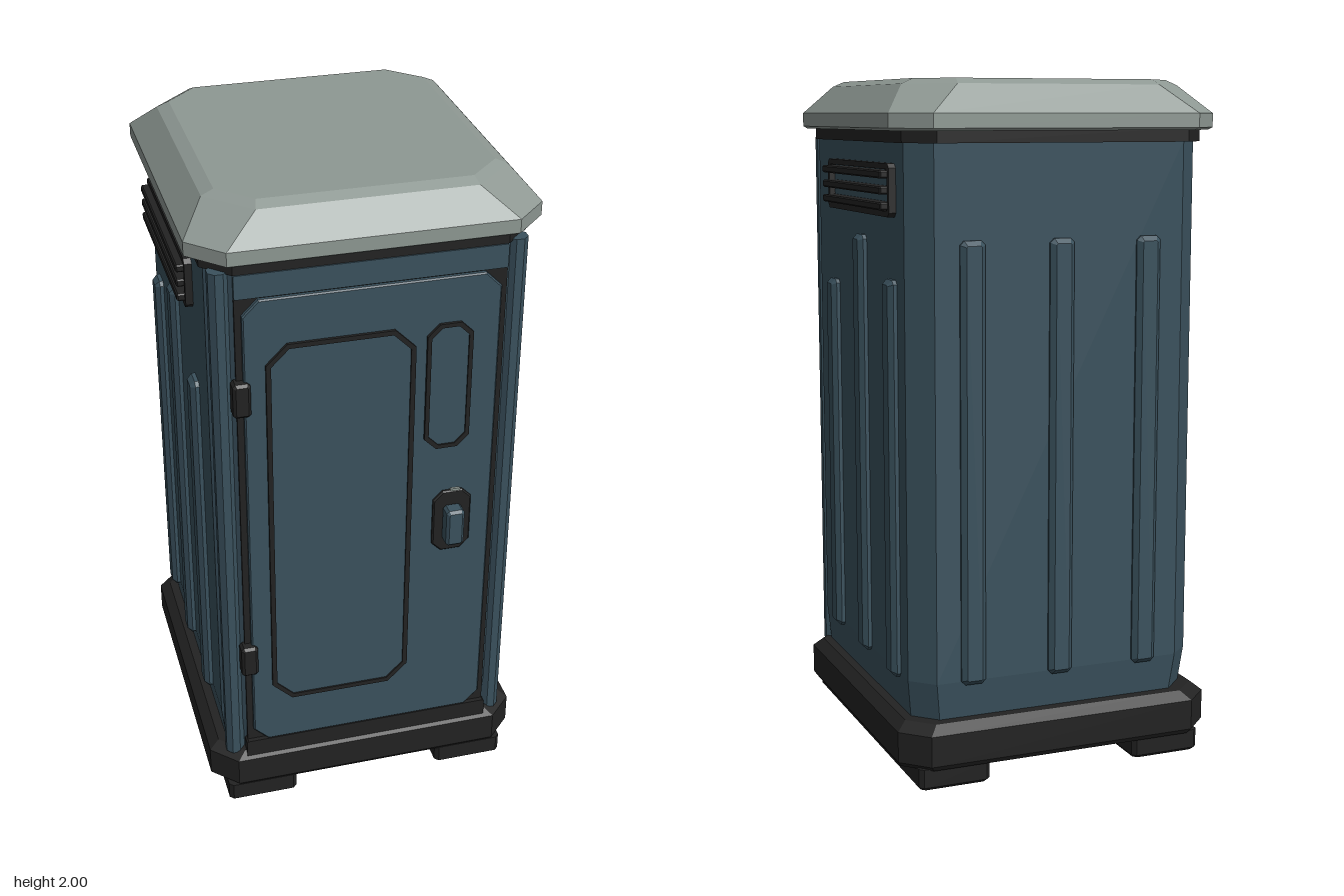
import * as THREE from 'three';

const mat = (name, color) => {
  const m = new THREE.MeshStandardMaterial({ color, flatShading: true });
  m.name = name;
  return m;
};

// Stack of chamfered rectangles; each ring is [y, halfWidth, zFront, zBack, cornerCut]
function octagonLoft(rings) {
  const pts = rings.map(([y, h, f, b, c]) => [
    [h, f - c], [h, b + c], [h - c, b], [c - h, b],
    [-h, b + c], [-h, f - c], [c - h, f], [h - c, f],
  ].map(([x, z]) => [x, y, z]));
  const pos = [];
  const tri = (...t) => t.forEach((p) => pos.push(...p));
  for (let r = 0; r < pts.length - 1; r++) {
    const lo = pts[r], up = pts[r + 1];
    for (let i = 0; i < 8; i++) {
      const j = (i + 1) % 8;
      tri(lo[i], lo[j], up[j]);
      tri(lo[i], up[j], up[i]);
    }
  }
  const bottom = pts[0], top = pts[pts.length - 1];
  for (let i = 1; i < 7; i++) {
    tri(top[0], top[i], top[i + 1]);
    tri(bottom[0], bottom[i + 1], bottom[i]);
  }
  const g = new THREE.BufferGeometry();
  g.setAttribute('position', new THREE.Float32BufferAttribute(pos, 3));
  g.computeVertexNormals();
  return g;
}

// Points of a rectangle with cut corners
const cutRect = (x0, x1, y0, y1, c) => [
  [x0 + c, y0], [x1 - c, y0], [x1, y0 + c], [x1, y1 - c],
  [x1 - c, y1], [x0 + c, y1], [x0, y1 - c], [x0, y0 + c],
].map(([x, y]) => new THREE.Vector2(x, y));

// Cut-corner plate facing +z between z0 and z1, with optional bevel or open middle
function plate([x0, x1, y0, y1], c, z0, z1, { bevel = 0, border = 0 } = {}) {
  const shape = new THREE.Shape(cutRect(x0, x1, y0, y1, c));
  if (border) {
    shape.holes.push(new THREE.Path(
      cutRect(x0 + border, x1 - border, y0 + border, y1 - border, c * 0.85)));
  }
  const g = new THREE.ExtrudeGeometry(shape, {
    depth: z1 - z0 - 2 * bevel, bevelEnabled: bevel > 0, bevelSegments: 1,
    bevelThickness: bevel, bevelSize: bevel, bevelOffset: -bevel,
  });
  return g.translate(0, 0, z0 + bevel);
}

export function createModel() {
  const blue = mat('blue plastic', 0x3a515d);
  const dark = mat('black plastic', 0x222222);
  const grey = mat('grey roof plastic', 0x8e9893);
  const model = new THREE.Group();
  model.name = 'portableCabin';

  const add = (name, geometry, material, parent = model) => {
    const m = new THREE.Mesh(geometry, material);
    m.name = name;
    parent.add(m);
    return m;
  };

  // Base, walls, lip and roof
  add('base', octagonLoft([
    [0.06, 0.48, 0.48, -0.525, 0.075], [0.075, 0.49, 0.49, -0.535, 0.075],
    [0.165, 0.49, 0.49, -0.535, 0.075], [0.19, 0.46, 0.47, -0.505, 0.07],
  ]), dark);
  add('walls', octagonLoft([
    [0.18, 0.432, 0.46, -0.472, 0.065], [0.3, 0.445, 0.46, -0.485, 0.065],
    [1.83, 0.445, 0.46, -0.485, 0.065],
  ]), blue);
  add('roofLip', octagonLoft([
    [1.825, 0.456, 0.468, -0.513, 0.075], [1.865, 0.456, 0.468, -0.513, 0.075],
  ]), dark);
  add('roof', octagonLoft([
    [1.858, 0.485, 0.485, -0.53, 0.095], [1.865, 0.495, 0.495, -0.54, 0.095],
    [1.905, 0.495, 0.495, -0.54, 0.095], [1.985, 0.425, 0.425, -0.472, 0.12],
    [2.0, 0.39, 0.393, -0.44, 0.092],
  ]), grey);

  // Skids and front corner posts
  for (const s of [-1, 1]) {
    const skid = octagonLoft([
      [0, 0.1, 0.475, -0.51, 0.012], [0.01, 0.108, 0.485, -0.52, 0.012],
      [0.065, 0.108, 0.485, -0.52, 0.012],
    ]).translate(s * 0.337, 0, 0);
    add('skid', skid, dark);
    const post = new THREE.CylinderGeometry(0.03, 0.03, 1.65, 8);
    post.rotateY(Math.PI / 8);
    add('cornerPost', post, blue).position.set(s * 0.415, 1.005, 0.435);
  }

  // Ribs and vents; the local x of a side wall runs towards the back
  const rib = (x, top, z, parent) => add('rib',
    plate([x - 0.037, x + 0.037, 0.29, top], 0.012, z - 0.03, z + 0.025, { bevel: 0.014 }),
    blue, parent);
  for (const s of [-1, 1]) {
    const side = new THREE.Group();
    side.name = s > 0 ? 'leftWallDetails' : 'rightWallDetails';
    side.rotation.y = s * Math.PI / 2;
    model.add(side);
    for (const [z, top] of [[0.23, 1.4], [-0.047, 1.555], [-0.32, 1.445]]) {
      rib(-s * z, top, 0.445, side);
    }
    const span = s > 0 ? [-0.232, 0.355] : [-0.355, 0.232];
    add('ventFrame', plate([...span, 1.62, 1.768], 0.012, 0.44, 0.466, { border: 0.016 }), dark, side);
    add('ventPanel', plate([span[0] + 0.01, span[1] - 0.01, 1.63, 1.758], 0.005, 0.44, 0.449), blue, side);
    for (const y of [1.65, 1.694, 1.738]) {
      add('ventSlat', plate([span[0] + 0.012, span[1] - 0.012, y - 0.011, y + 0.011], 0.004,
        0.44, 0.488, { bevel: 0.004 }), dark, side);
    }
  }
  const back = new THREE.Group();
  back.name = 'backWallDetails';
  back.rotation.y = Math.PI;
  model.add(back);
  for (const x of [-0.27, 0, 0.27]) rib(x, 1.56, 0.48, back);

  // Door with its frame and sill
  add('doorFrame', plate([-0.38, 0.38, 0.19, 1.755], 0.004, 0.45, 0.468), dark);
  add('doorHeader', plate([-0.38, 0.38, 1.755, 1.825], 0.004, 0.45, 0.472), blue);
  add('doorSill', plate([-0.385, 0.385, 0.17, 0.232], 0.005, 0.45, 0.482), dark);
  add('door', plate([-0.362, 0.362, 0.232, 1.752], 0.045, 0.46, 0.482, { bevel: 0.004 }), blue);
  add('doorPanelTrim', plate([-0.302, 0.12, 0.388, 1.615], 0.06, 0.48, 0.491, { border: 0.014 }), dark);
  add('doorPanel', plate([-0.29, 0.108, 0.4, 1.603], 0.052, 0.48, 0.486), blue);
  add('windowTrim', plate([0.152, 0.284, 1.215, 1.615], 0.035, 0.48, 0.491, { border: 0.012 }), dark);
  add('windowPanel', plate([0.162, 0.274, 1.225, 1.605], 0.03, 0.48, 0.486), blue);

  // Handle, indicator and hinges
  add('handlePlate', plate([0.185, 0.3, 0.857, 1.065], 0.028, 0.48, 0.494, { bevel: 0.004 }), dark);
  add('handle', plate([0.214, 0.268, 0.9, 1.02], 0.008, 0.49, 0.54, { bevel: 0.008 }), blue);
  add('indicator', plate([0.225, 0.255, 1.084, 1.092], 0.002, 0.515, 0.523), grey);
  for (const y of [0.555, 1.458]) {
    add('hinge', plate([-0.395, -0.345, y - 0.052, y + 0.052], 0.008, 0.45, 0.498, { bevel: 0.008 }), dark);
  }
  return model;
}
